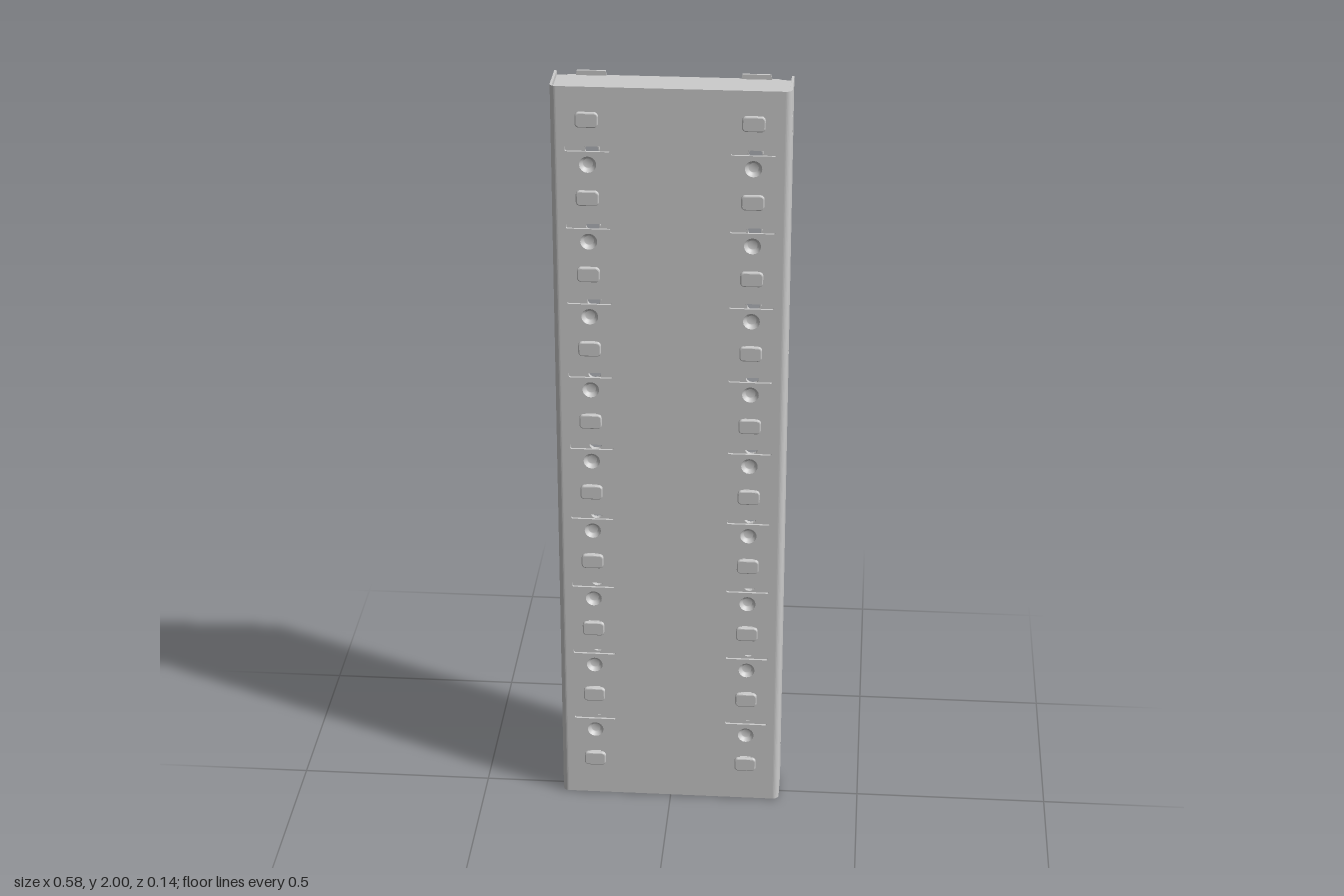
import * as THREE from 'three';

const material = new THREE.MeshStandardMaterial({ color: 0xcccccc, side: THREE.DoubleSide });

// Dimensions
const W = 0.29, T = 0.006, FRONT = 0.045, BACK = -0.07, R = 0.016;
const Y0 = 0.003, Y1 = 1.997;

// Rounded rectangle outline, used for slots, holes and heads
function roundRect(cx, cy, w, h, r, Type = THREE.Path) {
  const p = new Type(), a = w / 2 - r, b = h / 2 - r;
  p.moveTo(cx + w / 2, cy - b);
  p.absarc(cx + a, cy + b, r, 0, Math.PI / 2);
  p.absarc(cx - a, cy + b, r, Math.PI / 2, Math.PI);
  p.absarc(cx - a, cy - b, r, Math.PI, Math.PI * 1.5);
  p.absarc(cx + a, cy - b, r, Math.PI * 1.5, Math.PI * 2);
  p.closePath();
  return p;
}
const circle = (x, y, r) => new THREE.Path().absarc(x, y, r, 0, Math.PI * 2);
const polygon = pts => new THREE.Shape(pts.map(p => new THREE.Vector2(...p)));
const sheet = (shape, depth = T) =>
  new THREE.ExtrudeGeometry(shape, { depth, bevelEnabled: false, curveSegments: 8 });

export function createModel() {
  const model = new THREE.Group();
  model.name = 'mountingPanel';
  const add = (name, geometry, x = 0, y = 0, z = 0, parent = model) => {
    const m = new THREE.Mesh(geometry, material);
    m.name = name;
    m.position.set(x, y, z);
    parent.add(m);
    return m;
  };

  // Front sheet with long slots and round openings
  const face = polygon([[-W + R, Y0], [W - R, Y0], [W - R, Y1], [-W + R, Y1]]);
  for (const x of [-0.2, 0.2]) {
    for (let i = 0; i < 9; i++) {
      face.holes.push(roundRect(x, 0.24 + i * 0.2, 0.11, 0.014, 0.004));
      face.holes.push(circle(x, 0.2 + i * 0.2, 0.021));
    }
  }
  add('frontSheet', sheet(face), 0, 0, FRONT - T);

  // Bent corners and side walls
  const bend = new THREE.Shape();
  bend.absarc(0, 0, R, 0, Math.PI / 2, false);
  bend.absarc(0, 0, R - T, Math.PI / 2, 0, true);
  const bendGeo = sheet(bend, Y1 - Y0).rotateX(Math.PI / 2).translate(0, Y1, 0);
  const wall = polygon([[R - FRONT, Y0], [-BACK, Y0], [-BACK, Y1], [R - FRONT, Y1]]);
  for (const y of [0.13, 0.71, 1.29, 1.87]) wall.holes.push(circle(0.025, y, 0.007));
  for (const [y, d] of [[0.075, -1], [1.925, 1]]) {
    wall.holes.push(circle(0, y, 0.007));
    wall.holes.push(circle(-0.014 * d, y - 0.01, 0.003));
    wall.holes.push(circle(0.014 * d, y + 0.01, 0.003));
  }
  const wallGeo = sheet(wall).rotateY(Math.PI / 2);
  for (const s of [-1, 1]) {
    const corner = add('cornerBend', bendGeo, s * (W - R), 0, FRONT - R);
    if (s < 0) corner.rotation.y = -Math.PI / 2;
    add('sideWall', wallGeo, s > 0 ? W - T : -W);
  }

  // Back plate: notched corners and two raised tabs on each end
  const quarter = [[0.283, 1], [0.283, 1.87], [0.272, 1.87], [0.272, 1.97], [0.258, 1.988],
    [0.237, 1.988], [0.235, 2], [0.165, 2], [0.163, 1.988]];
  const flipX = quarter.map(([x, y]) => [-x, y]).reverse();
  const flipY = pts => pts.map(([x, y]) => [x, 2 - y]).reverse();
  const plate = polygon([...quarter, ...flipX, ...flipY(flipX).slice(1), ...flipY(quarter).slice(0, -1)]);
  for (const x of [-0.2, 0.2]) {
    for (let i = 1; i < 10; i++) plate.holes.push(circle(x, i * 0.2, 0.018));
    for (const y of [0.1, 1.9]) plate.holes.push(roundRect(x, y, 0.048, 0.026, 0.0129));
    for (const y of [0.035, 1, 1.965]) plate.holes.push(circle(x * 0.45, y, 0.011));
  }
  for (let i = 0; i < 10; i++) {
    const y = 0.1 + i * 0.2;
    plate.holes.push(i === 2 || i === 7
      ? roundRect(0, y, 0.09, 0.085, 0.002)
      : roundRect(0, y, 0.048, 0.026, 0.0129));
  }
  add('backPlate', sheet(plate), 0, 0, BACK);

  // Collars around the access holes on the inside of the back plate
  const collarShape = new THREE.Shape().absarc(0, 0, 0.0195, 0, Math.PI * 2);
  collarShape.holes.push(circle(0, 0, 0.0165));
  const collar = sheet(collarShape, 0.01);

  // End flanges of the tray with an inward lip and corner tabs
  for (const s of [-1, 1]) {
    const end = new THREE.Group();
    end.name = s > 0 ? 'topFlange' : 'bottomFlange';
    const at = d => 1 + s * (1 - d);
    add('flange', new THREE.BoxGeometry(0.566, T, 0.091), 0, at(0.015), -0.0185, end);
    add('flangeLip', new THREE.BoxGeometry(0.566, 0.03, T), 0, at(0.033), 0.03, end);
    for (const x of [-0.281, 0.281])
      add('cornerTab', new THREE.BoxGeometry(0.004, 0.11, 0.06), x, at(0.07), 0, end);
    model.add(end);
  }

  // Closed dimples behind the round openings
  const dimple = new THREE.LatheGeometry([[0, 0], [0.012, 0], [0.0125, 0.003], [0.017, 0.004], [0.021, 0.012]]
    .map(p => new THREE.Vector2(...p)), 20).rotateX(Math.PI / 2);

  // Hook stud: backing washer, neck and bevelled head
  const headGeo = new THREE.ExtrudeGeometry(roundRect(0, 0, 0.05, 0.032, 0.007, THREE.Shape),
    { depth: 0.006, bevelEnabled: true, bevelSize: 0.003, bevelThickness: 0.003, bevelSegments: 2, curveSegments: 4 });
  const washerGeo = new THREE.CylinderGeometry(0.025, 0.025, T, 20).rotateX(Math.PI / 2);
  const neckGeo = new THREE.BoxGeometry(0.028, 0.02, 0.022);

  for (const x of [-0.2, 0.2]) {
    for (let i = 0; i < 9; i++) {
      add('dimple', dimple, x, 0.2 + i * 0.2, FRONT - 0.012);
      add('holeCollar', collar, x, 0.2 + i * 0.2, BACK + T);
    }
    for (let i = 0; i < 10; i++) {
      const stud = new THREE.Group();
      stud.name = 'hookStud';
      stud.position.set(x, 0.12 + i * 0.2, 0);
      add('washer', washerGeo, 0, 0, 0.036, stud);
      add('neck', neckGeo, 0, 0.004, 0.047, stud);
      add('head', headGeo, 0, 0, 0.058, stud);
      model.add(stud);
    }
  }
  return model;
}
